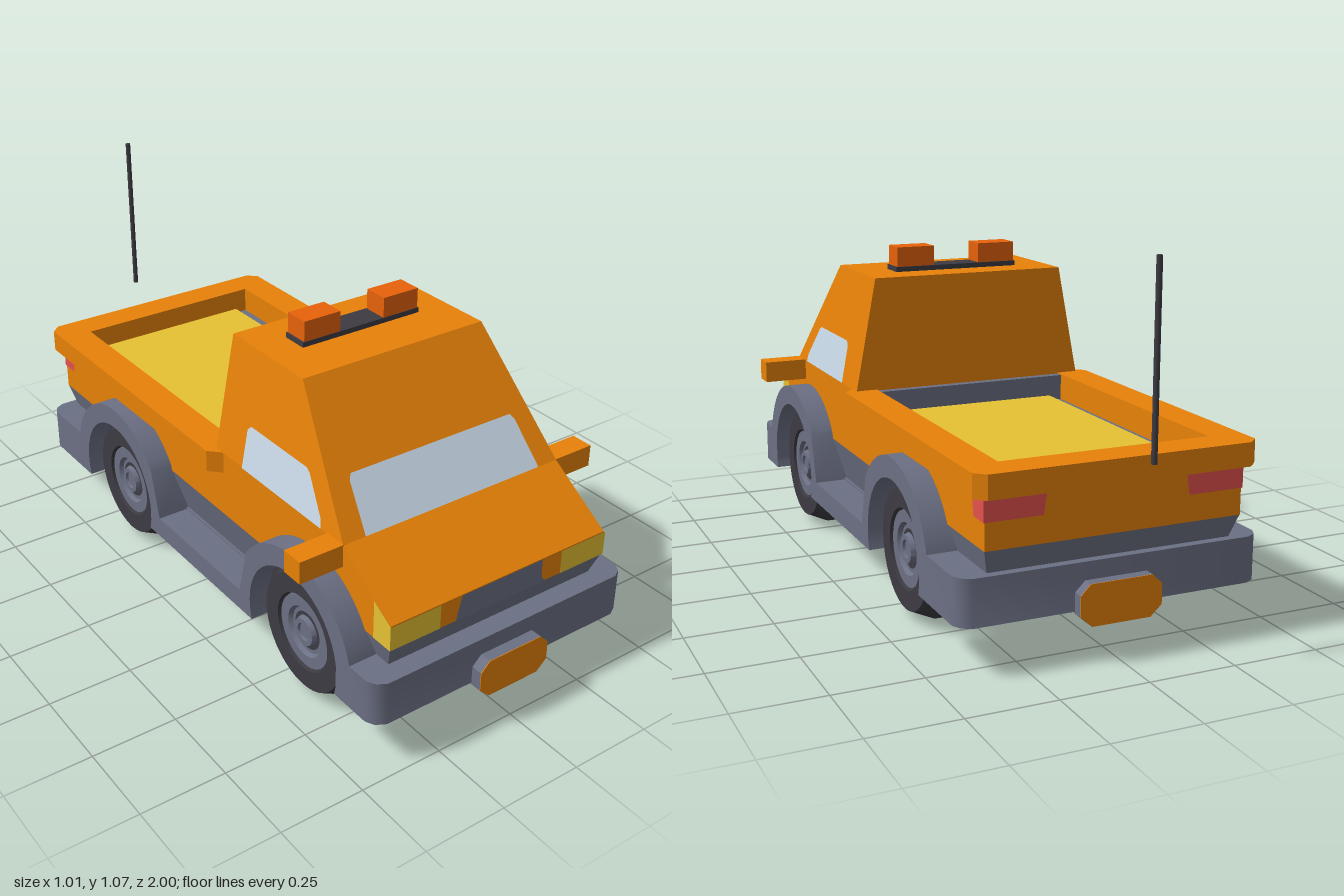
import * as THREE from 'three';
import { ConvexGeometry } from 'three/addons/geometries/ConvexGeometry.js';
import { toCreasedNormals } from 'three/addons/utils/BufferGeometryUtils.js';

const material = (name, color) => {
  const m = new THREE.MeshStandardMaterial({ color });
  m.name = name;
  return m;
};
const orange = material('orange paint', 0xe88208);
const gray = material('gray plastic', 0x6c7084);
const dark = material('dark rubber', 0x3d3b42);
const yellow = material('yellow', 0xe6c233);
const red = material('tail light red', 0xe4524e);
const beaconOrange = material('beacon orange', 0xe9630a);
const glass = material('glass', 0xc9dae8);

export function createModel() {
  const model = new THREE.Group();
  model.name = 'pickupTruck';

  const add = (name, geometry, mat, parent = model) => {
    const mesh = new THREE.Mesh(geometry, mat);
    mesh.name = name;
    parent.add(mesh);
    return mesh;
  };
  // box given by its min and max on each axis
  const box = (name, mat, x0, x1, y0, y1, z0, z1) => {
    const g = new THREE.BoxGeometry(x1 - x0, y1 - y0, z1 - z0);
    add(name, g.translate((x0 + x1) / 2, (y0 + y1) / 2, (z0 + z1) / 2), mat);
  };
  const toShape = (pts) => new THREE.Shape(pts.map(([a, b]) => new THREE.Vector2(a, b)));
  const extrude = (shape, depth) => new THREE.ExtrudeGeometry(shape, { depth, bevelEnabled: false });
  // plan outline in (x, z), extruded upward
  const planExtrude = (pts, y0, y1) =>
    extrude(toShape(pts.map(([x, z]) => [x, -z])), y1 - y0).rotateX(-Math.PI / 2).translate(0, y0, 0);
  // hull of points mirrored over x
  const hull = (name, mat, pts) => add(name, new ConvexGeometry(pts.flatMap(([x, y, z]) =>
    [new THREE.Vector3(x, y, z), new THREE.Vector3(-x, y, z)])), mat);
  // thin convex face, lifted slightly from the surface it lies on
  const panel = (name, mat, pts) => {
    const v = pts.map((p) => new THREE.Vector3(...p));
    const n = v[1].clone().sub(v[0]).cross(v[2].clone().sub(v[0])).normalize();
    v.forEach((p) => p.addScaledVector(n, 0.003));
    const tris = [];
    for (let i = 1; i < v.length - 1; i++) tris.push(v[0], v[i], v[i + 1]);
    const g = new THREE.BufferGeometry().setFromPoints(tris);
    g.computeVertexNormals();
    add(name, g, mat);
  };
  const panelPair = (name, mat, pts) => {
    panel(name + 'Left', mat, pts);
    panel(name + 'Right', mat, pts.map(([x, y, z]) => [-x, y, z]).reverse());
  };

  // cab and hood
  hull('hood', orange, [[0.37, 0.335, 0.93], [0.37, 0.41, 0.93], [0.37, 0.54, 0.73],
    [0.37, 0.54, 0.13], [0.37, 0.335, 0.13]]);
  hull('cab', orange, [[0.37, 0.54, 0.73], [0.37, 0.54, 0.13], [0.305, 0.88, 0.46], [0.305, 0.88, 0.13]]);

  // windows
  const screen = [[0.3, 0.54], [0.285, 0.655], [0.275, 0.669]];
  const onScreen = ([x, y]) => [x, y, 0.73 - (y - 0.54) * 0.794];
  panel('windscreen', glass, [...screen.map(onScreen),
    ...screen.map(([x, y]) => onScreen([-x, y])).reverse()]);
  const sideWindow = [[0.635, 0.54], [0.265, 0.54], [0.265, 0.655], [0.28, 0.669],
    [0.54, 0.669], [0.555, 0.66], [0.63, 0.565]];
  panelPair('sideWindow', glass, sideWindow.map(([z, y]) => [0.37 - (y - 0.54) * 0.191, y, z]));

  // front grille and lights
  const grille = [[-0.158, 0.336], [0.158, 0.336], [0.145, 0.347], [0.14, 0.365], [0.14, 0.41],
    [-0.14, 0.41], [-0.14, 0.365], [-0.145, 0.347]];
  panel('grille', gray, grille.map(([x, y]) => [x, y, 0.93]));
  panelPair('headlight', yellow, [[0.21, 0.337, 0.93], [0.373, 0.337, 0.93], [0.373, 0.409, 0.93], [0.21, 0.409, 0.93]]);
  panelPair('headlightSide', yellow, [[0.37, 0.337, 0.933], [0.37, 0.337, 0.865], [0.37, 0.45, 0.865], [0.37, 0.41, 0.933]]);

  // tail lights
  panelPair('tailLight', red, [[0.373, 0.41, -0.82], [0.21, 0.41, -0.82], [0.2, 0.475, -0.82], [0.373, 0.475, -0.82]]);
  panelPair('tailLightSide', red, [[0.37, 0.41, -0.76], [0.37, 0.41, -0.823], [0.37, 0.475, -0.823], [0.37, 0.475, -0.75]]);

  // cargo bed: walls, wider rail, lining and load floor
  add('bedWalls', planExtrude([[0.37, 0.14], [0.305, 0.14], [0.305, -0.755], [-0.305, -0.755],
    [-0.305, 0.14], [-0.37, 0.14], [-0.37, -0.82], [0.37, -0.82]], 0.335, 0.476), orange);
  add('bedRail', planExtrude([[0.405, 0.13], [0.37, 0.165], [0.305, 0.165], [0.305, -0.755], [-0.305, -0.755],
    [-0.305, 0.165], [-0.37, 0.165], [-0.405, 0.13], [-0.405, -0.825], [-0.375, -0.853],
    [0.375, -0.853], [0.405, -0.825]], 0.475, 0.541), orange);
  box('bedBase', gray, -0.305, 0.305, 0.335, 0.46, -0.755, 0.13);
  box('bedFrontLining', gray, -0.305, 0.305, 0.335, 0.538, 0.105, 0.131);
  box('loadFloor', yellow, -0.265, 0.265, 0.44, 0.475, -0.754, 0.105);

  // lower body, bumpers and underside
  hull('lowerBody', gray, [[0.37, 0.336, 0.929], [0.37, 0.336, -0.819], [0.335, 0.2, 0.88], [0.335, 0.2, -0.77]]);
  const bumper = (name, pts) => add(name, toCreasedNormals(planExtrude(pts, 0.14, 0.27), 0.7), gray);
  bumper('frontBumper', [[0.44, 0.8], [0.44, 0.925], [0.427, 0.95], [0.4, 0.965],
    [-0.4, 0.965], [-0.427, 0.95], [-0.44, 0.925], [-0.44, 0.8]]);
  bumper('rearBumper', [[0.44, -0.56], [0.44, -0.78], [0.427, -0.805], [0.4, -0.82],
    [-0.4, -0.82], [-0.427, -0.805], [-0.44, -0.78], [-0.44, -0.56]]);
  box('underside', gray, -0.345, 0.345, 0.14, 0.21, -0.6, 0.85);

  // side skirts with wheel arches
  const axles = [0.6, -0.355];
  const arc = (z, r, from, to) => Array.from({ length: 25 }, (_, i) => {
    const a = THREE.MathUtils.degToRad(from + (to - from) * i / 24);
    return [z + r * Math.cos(a), 0.2 + r * Math.sin(a)];
  });
  const skirt = [[0.86, 0.14], ...arc(axles[0], 0.265, 8, 145), [0.345, 0.205], [-0.1, 0.205],
    ...arc(axles[1], 0.265, 35, 172), [-0.615, 0.14], ...arc(axles[1], 0.203, 197, -17),
    ...arc(axles[0], 0.203, 197, -17)];
  for (const s of [-1, 1]) {
    const g = extrude(toShape(skirt), 0.11).rotateY(-Math.PI / 2).translate(s > 0 ? 0.44 : -0.33, 0, 0);
    add(s > 0 ? 'skirtLeft' : 'skirtRight', toCreasedNormals(g, 0.5), gray);
  }

  // wheels and the dark wells above them
  const lathe = (pts) => toCreasedNormals(
    new THREE.LatheGeometry(pts.map(([r, y]) => new THREE.Vector2(r, y)), 40), 0.4);
  const tire = lathe([[0, -0.102], [0.17, -0.102], [0.2, -0.04], [0.2, 0.04], [0.172, 0.102],
    [0.115, 0.102], [0.11, 0.08], [0, 0.08]]);
  const rim = lathe([[0.111, 0.08], [0.108, 0.095], [0.075, 0.095], [0.068, 0.083], [0.045, 0.083],
    [0.04, 0.098], [0.026, 0.098], [0.024, 0.09], [0, 0.09]]);
  const groove = new THREE.RingGeometry(0.045, 0.056, 40).rotateX(-Math.PI / 2).translate(0, 0.0845, 0);
  for (const z of axles) {
    const well = new THREE.CylinderGeometry(0.204, 0.204, 0.746, 32, 1, false, Math.PI, Math.PI);
    add('wheelWell', well.rotateZ(-Math.PI / 2).translate(0, 0.2, z), dark);
    for (const s of [-1, 1]) {
      const wheel = new THREE.Group();
      wheel.name = (z > 0 ? 'front' : 'rear') + 'Wheel' + (s > 0 ? 'Left' : 'Right');
      add('tire', tire, dark, wheel);
      add('rim', rim, gray, wheel);
      add('rimGroove', groove, dark, wheel);
      wheel.rotation.z = -s * Math.PI / 2;
      wheel.position.set(s * 0.303, 0.2, z);
      model.add(wheel);
    }
  }

  // blank number plates on gray holders
  const octagon = toShape([[-0.085, 0.105], [0.085, 0.105], [0.118, 0.135], [0.118, 0.192],
    [0.09, 0.22], [-0.09, 0.22], [-0.118, 0.192], [-0.118, 0.135]]);
  for (const [name, z, turn] of [['frontPlate', 0.961, 0], ['rearPlate', -0.813, Math.PI]]) {
    const plate = new THREE.Group();
    plate.name = name;
    add('holder', extrude(octagon, 0.037), gray, plate);
    add('face', extrude(octagon, 0.002).translate(0, 0, 0.037), orange, plate);
    plate.position.z = z;
    plate.rotation.y = turn;
    model.add(plate);
  }

  // mirrors, roof beacons and antenna
  box('beaconBar', dark, -0.2, 0.2, 0.878, 0.895, 0.232, 0.312);
  for (const s of [-1, 1]) {
    const m = s * 0.4325, b = s * 0.135;
    box('mirror', orange, m - 0.0725, m + 0.0725, 0.475, 0.541, 0.662, 0.73);
    box('beacon', beaconOrange, b - 0.06, b + 0.06, 0.89, 0.955, 0.235, 0.311);
  }
  add('antenna', new THREE.CylinderGeometry(0.008, 0.008, 0.505, 8).translate(0, 0.8125, -0.992), dark);

  return model;
}
